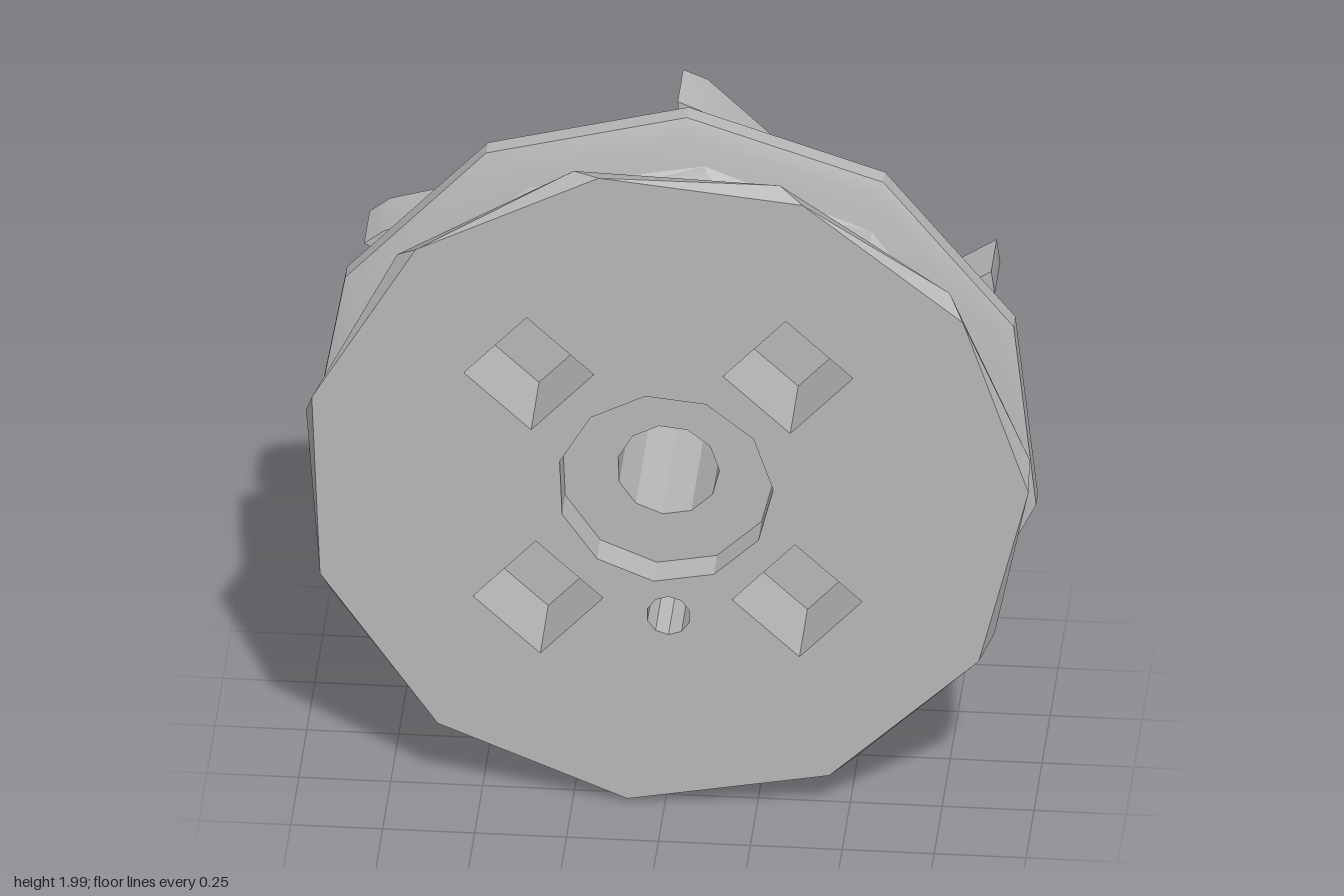
import * as THREE from 'three';
import { toCreasedNormals } from 'three/addons/utils/BufferGeometryUtils.js';

const SIDES = 11;
const CREASE = 0.5;
const polar = (r, deg) => new THREE.Vector2(
  r * Math.cos(THREE.MathUtils.degToRad(deg)),
  r * Math.sin(THREE.MathUtils.degToRad(deg)));

// regular polygon around (cx, cy)
function polygon(n, r, phase, cx = 0, cy = 0) {
  return Array.from({ length: n }, (_, i) => {
    const p = polar(r, phase + (i * 360) / n);
    return new THREE.Vector2(p.x + cx, p.y + cy);
  });
}

// skin between rings of equal point count; each ring is { z, pts }
function loft(rings) {
  const pos = [];
  const index = [];
  const n = rings[0].pts.length;
  rings.forEach(({ z, pts }) => pts.forEach((p) => pos.push(p.x, p.y, z)));
  for (let i = 0; i < rings.length - 1; i++) {
    for (let j = 0; j < n; j++) {
      const k = (j + 1) % n;
      const a = i * n + j, b = (i + 1) * n + j, c = (i + 1) * n + k, d = i * n + k;
      index.push(a, b, d, b, c, d);
    }
  }
  const g = new THREE.BufferGeometry();
  g.setAttribute('position', new THREE.Float32BufferAttribute(pos, 3));
  g.setIndex(index);
  return toCreasedNormals(g, CREASE);
}

export function createModel() {
  const model = new THREE.Group();
  model.name = 'pulleyWithFan';
  const metal = new THREE.MeshStandardMaterial({ color: 0xb8b8b8 });
  metal.name = 'grey metal';

  const wheel = new THREE.Group();
  wheel.name = 'wheel';
  wheel.position.y = 0.995;
  model.add(wheel);
  const add = (name, geometry, parent = wheel) => {
    const mesh = new THREE.Mesh(geometry, metal);
    mesh.name = name;
    parent.add(mesh);
    return mesh;
  };

  // [z, radius, phase in degrees]: rim, groove, back flange, hub, bore, recess
  const FRONT = 0.3;
  const profile = [
    [FRONT, 0.99, 2.3], [0.25, 0.995, 6.5], [0.228, 0.97, 8],
    [0.22, 0.87, 12], [0.19, 0.815, 15], [0.13, 0.795, 15], [0.07, 0.815, 16],
    [0.035, 0.87, 19], [0.025, 0.95, 22.6], [0.005, 1.0, 22.6], [-0.05, 1.0, 22.6],
    [-0.05, 0.505, 22.6], [-0.3, 0.5, 22.6],
    [-0.3, 0.14, 2.3], [0.2, 0.14, 2.3],
    [0.2, 0.295, 2.3], [FRONT, 0.295, 2.3],
  ];
  add('groovedPulleyAndHub', loft(profile.map(([z, r, phase]) => ({
    z, pts: polygon(SIDES, r, phase),
  }))));

  // front face, pierced by the recess and the blind holes
  const face = new THREE.Shape(polygon(SIDES, 0.99, 2.3));
  face.holes.push(new THREE.Path(polygon(SIDES, 0.295, 2.3)));
  const blindHoles = [
    { name: 'squarePocket', pts: polygon(4, 0.177, 2, -0.37, 0.345) },
    { name: 'squarePocket', pts: polygon(4, 0.177, 2, 0.335, 0.37) },
    { name: 'squarePocket', pts: polygon(4, 0.177, 2, 0.36, -0.335) },
    { name: 'squarePocket', pts: polygon(4, 0.177, 2, -0.345, -0.36) },
    { name: 'roundHole', pts: polygon(10, 0.06, 18, 0.01, -0.4) },
  ];
  const POCKET_Z = 0.05;
  blindHoles.forEach(({ name, pts }) => {
    face.holes.push(new THREE.Path(pts));
    add(name + 'Wall', loft([{ z: POCKET_Z, pts }, { z: FRONT, pts }]));
    add(name + 'Floor', new THREE.ShapeGeometry(new THREE.Shape(pts)).translate(0, 0, POCKET_Z));
  });
  add('frontFace', new THREE.ShapeGeometry(face).translate(0, 0, FRONT));

  // one swept fan blade outline as [radius, angle from the tip]
  const blade = new THREE.Shape([
    [0.46, -97], [0.46, -72], [0.49, -52], [0.535, -36], [0.65, -10], [0.74, -1],
    [0.985, 0], [0.96, -4], [0.85, -14], [0.775, -26], [0.725, -38], [0.67, -50], [0.57, -69],
  ].map(([r, a]) => polar(r, a)));
  const bladeGeometry = toCreasedNormals(
    new THREE.ExtrudeGeometry(blade, { depth: 0.17, bevelEnabled: false }), CREASE);
  const fan = new THREE.Group();
  fan.name = 'fan';
  fan.position.z = -0.27;
  wheel.add(fan);
  for (let i = 0; i < 6; i++) {
    add('fanBlade', bladeGeometry, fan).rotation.z = Math.PI / 2 + (i * Math.PI) / 3;
  }

  return model;
}
